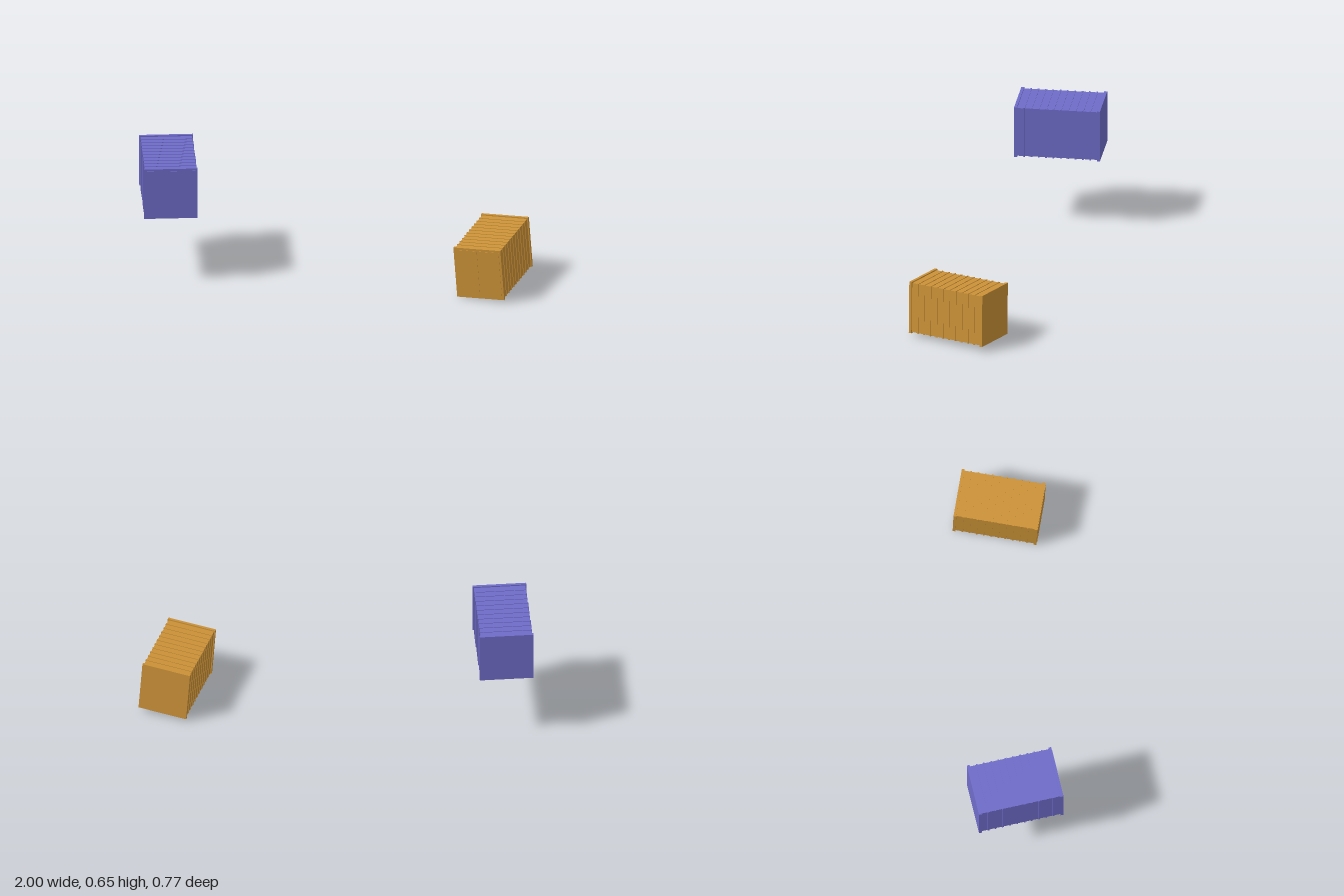
import * as THREE from 'three';

const SIZE = 0.276, BODY = 0.264, RIB = 0.270, LENGTH = 0.444;
const FRAME = 0.015, RIBS = 10, RIB_STEP = 0.038;

// One shipping container, centred on its own origin, doors towards +z
function container(name, color) {
  const group = new THREE.Group();
  group.name = name;
  const material = new THREE.MeshStandardMaterial({ color, flatShading: true });
  const box = (part, w, h, d, x, z) => {
    const mesh = new THREE.Mesh(new THREE.BoxGeometry(w, h, d), material);
    mesh.name = part;
    mesh.position.set(x, 0, z);
    group.add(mesh);
  };

  box('body', BODY, BODY, LENGTH - FRAME, 0, 0);

  // Raised frames closing both ends
  for (const s of [1, -1]) {
    box(s > 0 ? 'frontFrame' : 'backFrame', SIZE, SIZE, FRAME, 0, s * (LENGTH - FRAME) / 2);
  }

  // Ribs running around the walls, roof and floor
  for (let i = 0; i < RIBS; i++) {
    box('rib', RIB, RIB, 0.008, 0, (i - (RIBS - 1) / 2) * RIB_STEP);
  }

  // Pair of doors, slightly proud of the front frame
  for (const s of [1, -1]) {
    box(s > 0 ? 'leftDoor' : 'rightDoor', 0.124, 0.252, 0.004, s * 0.064, LENGTH / 2);
  }
  return group;
}

export function createModel() {
  const model = new THREE.Group();
  model.name = 'containers';

  const blue = container('blueContainer', 0x6f6cc9);
  blue.position.set(-0.862, 0.51, -0.164);

  // Turned and tipped a little to one side
  const orange = container('orangeContainer', 0xcc9238);
  orange.rotation.set(0, -0.398, 0.073, 'ZYX');
  orange.scale.set(0.93, 1, 0.98);
  orange.position.set(0.787, 0.153, 0.137);

  model.add(blue, orange);
  return model;
}
